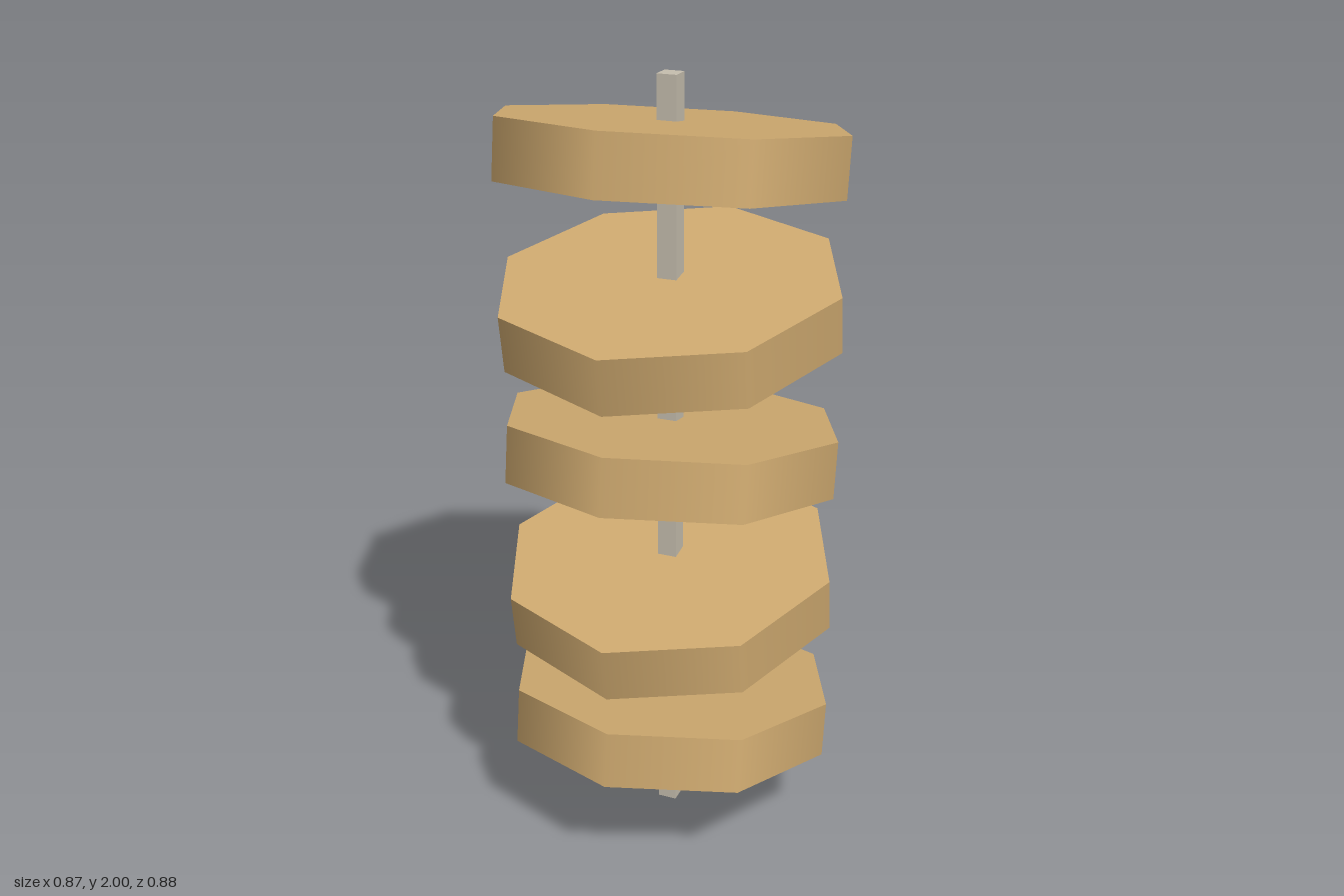
import * as THREE from 'three';

export function createModel() {
  const model = new THREE.Group();
  const wood = new THREE.MeshStandardMaterial({ color: 0xcfaa70 });
  wood.name = 'tan wood';
  const metal = new THREE.MeshStandardMaterial({ color: 0xc6beae });
  metal.name = 'pale grey';

  // Square post running the full height
  const post = new THREE.Mesh(new THREE.BoxGeometry(0.05, 2, 0.05), metal);
  post.name = 'post';
  post.position.y = 1;
  model.add(post);

  // Eight-sided discs, tilted alternately forward and back
  const discShape = new THREE.CylinderGeometry(0.436, 0.436, 0.145, 8);
  for (let i = 0; i < 5; i++) {
    const disc = new THREE.Mesh(discShape, wood);
    disc.name = `disc${i + 1}`;
    disc.position.y = 0.316 + i * 0.375;
    disc.rotation.x = i % 2 ? 0.15 : -0.15;
    model.add(disc);
  }
  return model;
}
